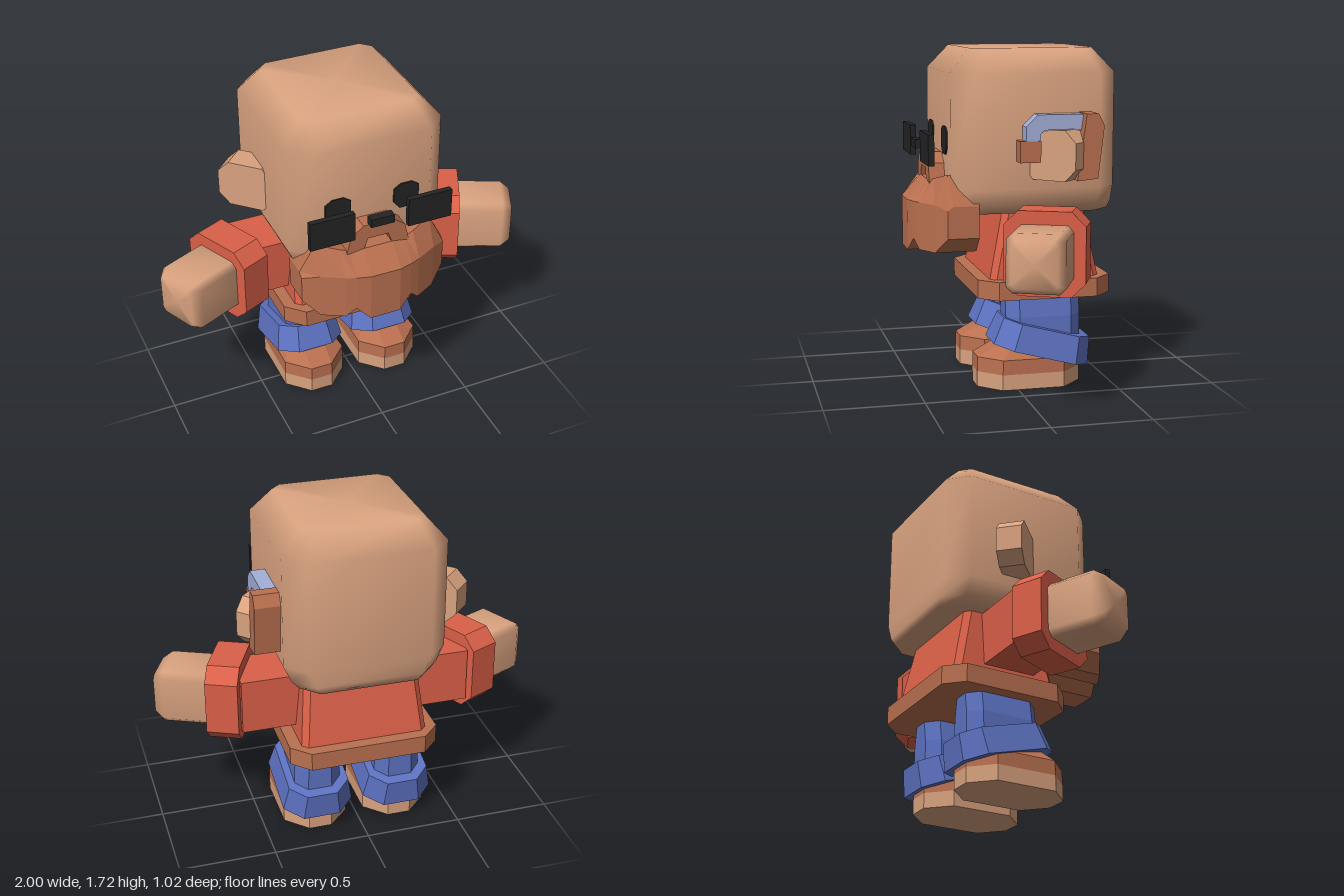
import * as THREE from 'three';

const mat = (name, color) => {
  const m = new THREE.MeshStandardMaterial({ color });
  m.name = name;
  return m;
};

// Eight-sided ring at height y: half sizes hx, hz, corner cut c, centre cx, cz
const oct = (y, hx, hz, c, cx = 0, cz = 0) => [
  [hx, -hz + c], [hx, hz - c], [hx - c, hz], [-hx + c, hz],
  [-hx, hz - c], [-hx, -hz + c], [-hx + c, -hz], [hx - c, -hz],
].map(([x, z]) => [x + cx, y, z + cz]);

// Skin a stack of rings and close both ends
function loft(rings, smooth = false) {
  const n = rings[0].length, pos = rings.flat(2), idx = [];
  for (let r = 0; r < rings.length - 1; r++) {
    for (let i = 0; i < n; i++) {
      const j = (i + 1) % n, a = r * n + i, b = a + n, a2 = r * n + j, b2 = a2 + n;
      idx.push(a, b, a2, a2, b, b2);
    }
  }
  [0, rings.length - 1].forEach((r) => {
    const centre = pos.length / 3;
    for (let k = 0; k < 3; k++) pos.push(rings[r].reduce((t, p) => t + p[k], 0) / n);
    for (let i = 0; i < n; i++) {
      const p = r * n + i, q = r * n + (i + 1) % n;
      if (r === 0) idx.push(centre, p, q);
      else idx.push(centre, q, p);
    }
  });
  let g = new THREE.BufferGeometry();
  g.setAttribute('position', new THREE.Float32BufferAttribute(pos, 3));
  g.setIndex(idx);
  if (!smooth) g = g.toNonIndexed();
  g.computeVertexNormals();
  return g;
}

// Straight extrusion of an outline
const slab = (points, depth) => new THREE.ExtrudeGeometry(
  new THREE.Shape(points.map(([x, y]) => new THREE.Vector2(x, y))),
  { depth, bevelEnabled: false });

export function createModel() {
  const model = new THREE.Group();
  model.name = 'figure';
  const skin = mat('skin', 0xd9a27f);
  const brown = mat('brown', 0xba7050);
  const red = mat('red', 0xdb6048);
  const blue = mat('blue', 0x5d72c2);
  const black = mat('black', 0x242424);
  const lavender = mat('lavender', 0xa3afd9);

  const add = (name, geo, material, p = [0, 0, 0], rot = [0, 0, 0]) => {
    const m = new THREE.Mesh(geo, material);
    m.name = name;
    m.position.set(...p);
    m.rotation.set(...rot);
    model.add(m);
    return m;
  };
  const box = (name, w, h, d, material, x, y, z) =>
    add(name, new THREE.BoxGeometry(w, h, d), material, [x, y, z]);

  // Head: big block with softened edges
  const hz = -0.09;
  add('head', loft([
    oct(0.90, 0.34, 0.41, 0.09, 0, hz),
    oct(0.94, 0.375, 0.42, 0.1, 0, hz),
    oct(1.03, 0.415, 0.42, 0.1, 0, hz),
    oct(1.60, 0.415, 0.42, 0.1, 0, hz),
    oct(1.72, 0.31, 0.315, 0.05, 0, hz),
  ], true), skin);

  // Beard: cross-sections from side to side [x, top, bottom, top z, front z]
  const half = [
    [0.39, 0.95, 0.79, 0.33, 0.36], [0.31, 1.10, 0.71, 0.345, 0.41],
    [0.20, 1.07, 0.71, 0.39, 0.47], [0.15, 1.055, 0.76, 0.40, 0.49],
    [0.08, 1.055, 0.69, 0.41, 0.51],
  ];
  const columns = [...half.map(([x, ...r]) => [-x, ...r]), ...half.slice().reverse()];
  add('beard', loft(columns.map(([x, t, b, zt, zf]) => [
    [x, b, 0.2], [x, b, zf], [x, Math.min(0.95, t - 0.02), zf], [x, t, zt], [x, t, 0.2],
  ])), brown);

  // Moustache arch with the mouth inside it
  add('moustache', slab([
    [-0.17, 1.04], [-0.08, 1.04], [-0.055, 1.11], [0.055, 1.11], [0.08, 1.04],
    [0.17, 1.04], [0.145, 1.14], [0.08, 1.19], [-0.08, 1.19], [-0.145, 1.14],
  ], 0.11), brown, [0, 0, 0.3]);
  add('mouth', slab([[-0.08, 1.04], [0.08, 1.04], [0.055, 1.11], [-0.055, 1.11]], 0.008),
    black, [0, 0, 0.332]);

  // Glasses bridge
  box('glassesBridge', 0.125, 0.045, 0.045, black, 0, 1.23, 0.44);

  // Torso and belt
  add('torso', loft([
    oct(0.55, 0.33, 0.285, 0.03, 0, -0.155),
    oct(0.96, 0.29, 0.2, 0.03, 0, -0.155),
  ]), red);
  add('belt', loft([
    oct(0.465, 0.39, 0.345, 0.09, 0, -0.155),
    oct(0.56, 0.39, 0.345, 0.09, 0, -0.155),
  ]), brown);

  for (const s of [1, -1]) {
    const side = s > 0 ? 'left' : 'right';

    // Eye and lens
    add(side + 'Eye', slab([
      [-0.035, -0.07], [0.035, -0.07], [0.068, -0.03], [0.068, 0.045],
      [0.03, 0.07], [-0.03, 0.07], [-0.068, 0.045], [-0.068, -0.03],
    ], 0.008), black, [s * 0.183, 1.26, 0.331]);
    box(side + 'Lens', 0.235, 0.155, 0.03, black, s * 0.26, 1.23, 0.437);

    // Ear angled backwards
    add(side + 'Ear', slab([
      [-0.15, -0.065], [-0.09, -0.125], [0.09, -0.125], [0.15, -0.065],
      [0.15, 0.065], [0.09, 0.125], [-0.09, 0.125], [-0.15, 0.065],
    ], 0.13).translate(0, 0, -0.065), skin, [s * 0.447, 1.205, -0.17], [0, s * 0.77, 0]);

    // Arm: straight sleeve, then cuff and hand turned forwards
    box(side + 'Sleeve', 0.4, 0.285, 0.28, red, s * 0.4, 0.753, -0.14);
    const elbow = [s * 0.617, 0.755, -0.083], turn = [0, -s * 0.43, -s * Math.PI / 2];
    add(side + 'Cuff', loft([
      oct(-0.083, 0.208, 0.2, 0.07), oct(0.083, 0.208, 0.2, 0.07),
    ]), red, elbow, turn);
    add(side + 'Hand', loft([
      oct(0, 0.142, 0.142, 0.03), oct(0.32, 0.142, 0.142, 0.03), oct(0.37, 0.11, 0.11, 0.02),
    ], true), skin, elbow, turn);

    // Leg with a tilted trouser cuff
    const x = s * 0.218;
    add(side + 'Leg', loft([
      oct(0.16, 0.125, 0.195, 0.06, x, -0.155), oct(0.36, 0.12, 0.195, 0.06, x, -0.155),
      oct(0.48, 0.1, 0.195, 0.06, x, -0.155),
    ]), blue);
    add(side + 'TrouserCuff', loft([
      oct(-0.07, 0.187, 0.257, 0.09), oct(0.07, 0.16, 0.235, 0.08),
    ]), blue, [x, 0.227, -0.155], [-0.265, 0, 0]);

    // Shoe: sole and upper
    add(side + 'Sole', loft([
      oct(0, 0.17, 0.27, 0.11, x, -0.08), oct(0.08, 0.17, 0.27, 0.11, x, -0.08),
    ]), skin);
    add(side + 'Shoe', loft([
      oct(0.08, 0.17, 0.27, 0.11, x, -0.08), oct(0.155, 0.168, 0.268, 0.11, x, -0.08),
      oct(0.212, 0.12, 0.18, 0.06, x, -0.1),
    ]), brown);
  }

  // Hearing aid on the left ear, outlines drawn in side view
  const aid = (name, pts, depth, material) =>
    add(name, slab(pts, depth), material, [0.4, 0, 0], [0, Math.PI / 2, 0]);
  aid('hearingAidBody', [
    [0.255, 1.08], [0.36, 1.09], [0.39, 1.35], [0.36, 1.408], [0.30, 1.408],
  ], 0.145, brown);
  aid('hearingAidTube', [
    [0.01, 1.27], [0.085, 1.27], [0.085, 1.31], [0.1, 1.325], [0.30, 1.325],
    [0.31, 1.403], [0.07, 1.403], [0.01, 1.345],
  ], 0.09, lavender);
  aid('hearingAidTip', [[-0.02, 1.17], [0.085, 1.17], [0.085, 1.275], [-0.02, 1.275]], 0.092, brown);

  return model;
}
